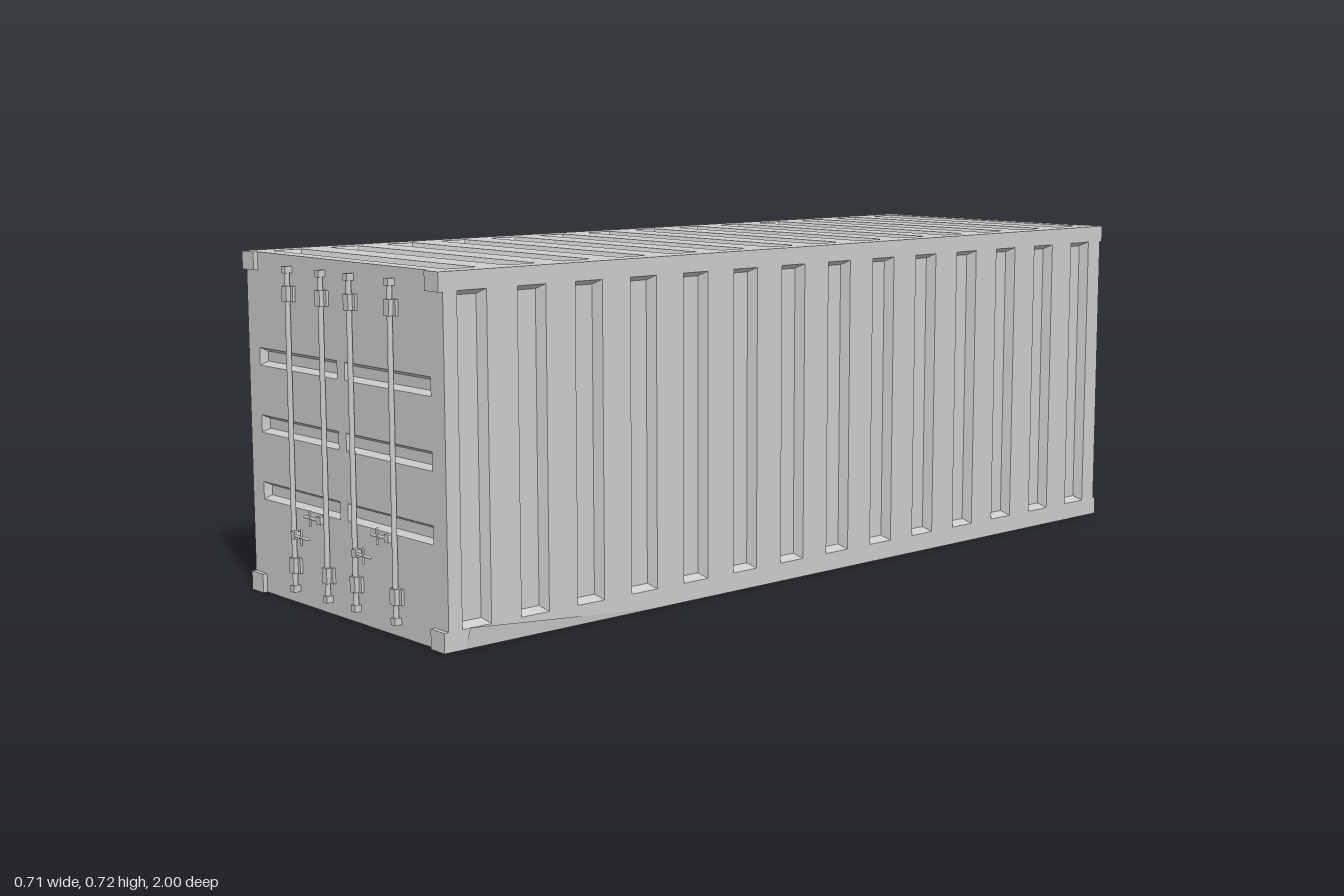
import * as THREE from 'three';

const grey = new THREE.MeshStandardMaterial({ color: 0xcccccc });
const sheet = new THREE.MeshStandardMaterial({ color: 0xcccccc, side: THREE.DoubleSide });

// body limits
const L = -0.355, R = 0.35, H = 0.722, FRONT = 0.977, BACK = -0.992;

function add(parent, name, geometry, x = 0, y = 0, z = 0, material = grey) {
  const mesh = new THREE.Mesh(geometry, material);
  mesh.name = name;
  mesh.position.set(x, y, z);
  parent.add(mesh);
  return mesh;
}

const box = (w, h, d) => new THREE.BoxGeometry(w, h, d);

// rectangle corners, counter-clockwise
const corners = ([x0, x1, y0, y1]) => [[x0, y0], [x1, y0], [x1, y1], [x0, y1]];

// sloped walls and floor of the pressed slots
function slotGeometry(slots, inset, depth) {
  const pos = [];
  const quad = (a, b, c, d) => pos.push(...a, ...b, ...c, ...a, ...c, ...d);
  for (const s of slots) {
    const rim = corners(s).map(([x, y]) => [x, y, 0]);
    const floor = corners([s[0] + inset, s[1] - inset, s[2] + inset, s[3] - inset])
      .map(([x, y]) => [x, y, -depth]);
    for (let i = 0; i < 4; i++) {
      const j = (i + 1) % 4;
      quad(rim[i], rim[j], floor[j], floor[i]);
    }
    quad(...floor);
  }
  const g = new THREE.BufferGeometry();
  g.setAttribute('position', new THREE.Float32BufferAttribute(pos, 3));
  g.computeVertexNormals();
  return g;
}

// flat sheet facing +z with pressed-in slots
function panel(name, outline, slots, inset = 0.01, depth = 0.02) {
  const group = new THREE.Group();
  group.name = name;
  const toPoints = (r) => corners(r).map(([x, y]) => new THREE.Vector2(x, y));
  const shape = new THREE.Shape(toPoints(outline));
  shape.holes = slots.map((s) => new THREE.Path(toPoints(s).reverse()));
  add(group, name + 'Sheet', new THREE.ShapeGeometry(shape), 0, 0, 0, sheet);
  if (slots.length) add(group, name + 'Slots', slotGeometry(slots, inset, depth), 0, 0, 0, sheet);
  return group;
}

export function createModel() {
  const model = new THREE.Group();
  model.name = 'shippingContainer';
  const rows = Array.from({ length: 14 }, (_, i) => i);

  // corrugated side walls
  for (const side of [1, -1]) {
    const slots = rows.map((i) => {
      const u = -side * (0.911 - i * 0.1403);
      return [u - 0.034, u + 0.034, 0.04, 0.685];
    });
    const outline = side > 0 ? [-FRONT, -BACK, 0, H] : [BACK, FRONT, 0, H];
    const wall = panel(side > 0 ? 'leftWall' : 'rightWall', outline, slots);
    wall.rotation.y = side * Math.PI / 2;
    wall.position.x = side > 0 ? R : L;
    model.add(wall);
  }

  // roof with cross slots
  const roof = panel('roof', [L, R, -FRONT, -BACK], rows.map((i) => {
    const v = -0.903 + i * 0.1403;
    return [-0.315, 0.305, v - 0.035, v + 0.035];
  }));
  roof.rotation.x = -Math.PI / 2;
  roof.position.y = H;
  model.add(roof);

  // plain back wall
  const back = panel('backWall', [-R, -L, 0, H], []);
  back.rotation.y = Math.PI;
  back.position.z = BACK;
  model.add(back);

  // door wall with three grooves per door
  const grooves = [];
  for (const y of [0.201, 0.343, 0.485])
    for (const [x0, x1] of [[-0.312, -0.017], [0.011, 0.306]])
      grooves.push([x0, x1, y, y + 0.037]);
  const doors = panel('doors', [L, R, 0, H], grooves, 0.008, 0.015);
  doors.position.z = FRONT;
  model.add(doors);

  // corner castings, proud of both ends
  for (const x of [L + 0.0225, R - 0.0225])
    for (const y of [0.02, H - 0.019])
      for (const z of [FRONT - 0.005, BACK + 0.007])
        add(model, 'cornerCasting', box(0.045, y < 0.1 ? 0.04 : 0.038, 0.03), x, y, z);

  // lock rods: x, handle height, handle direction
  const rods = [[-0.183, 0.147, 1], [-0.058, 0.193, -1], [0.045, 0.147, 1], [0.186, 0.195, -1]];
  for (const [x, y, dir] of rods) {
    const lock = new THREE.Group();
    lock.name = 'lockRod';
    lock.position.set(x, 0, FRONT);
    model.add(lock);
    add(lock, 'rod', new THREE.CylinderGeometry(0.0055, 0.0055, 0.665, 12), 0, 0.3625, 0.008);
    for (const cy of [0.032, 0.693]) add(lock, 'rodEnd', box(0.014, 0.014, 0.016), 0, cy, 0.008);
    for (const by of [0.081, 0.644]) {
      add(lock, 'bracketPlate', box(0.034, 0.032, 0.006), 0, by, 0.003);
      add(lock, 'bracketClamp', box(0.018, 0.032, 0.016), 0, by, 0.008);
    }
    // handle with a crosspiece
    add(lock, 'handleBlock', box(0.015, 0.016, 0.014), dir * 0.0125, y, 0.012);
    const bar = add(lock, 'handleBar', new THREE.CapsuleGeometry(0.0035, 0.045, 4, 8), dir * 0.044, y, 0.016);
    bar.rotation.z = Math.PI / 2;
    add(lock, 'handleCross', new THREE.CapsuleGeometry(0.0025, 0.03, 4, 8), dir * 0.045, y, 0.018);
  }

  // slightly sprung lip on the left bottom rail
  const lip = new THREE.BufferGeometry();
  lip.setAttribute('position', new THREE.Float32BufferAttribute(
    [R, 0, 0.94, R + 0.005, 0.042, 0.93, R, 0, 0.46], 3));
  lip.computeVertexNormals();
  add(model, 'railLip', lip, 0, 0, 0, sheet);

  return model;
}
